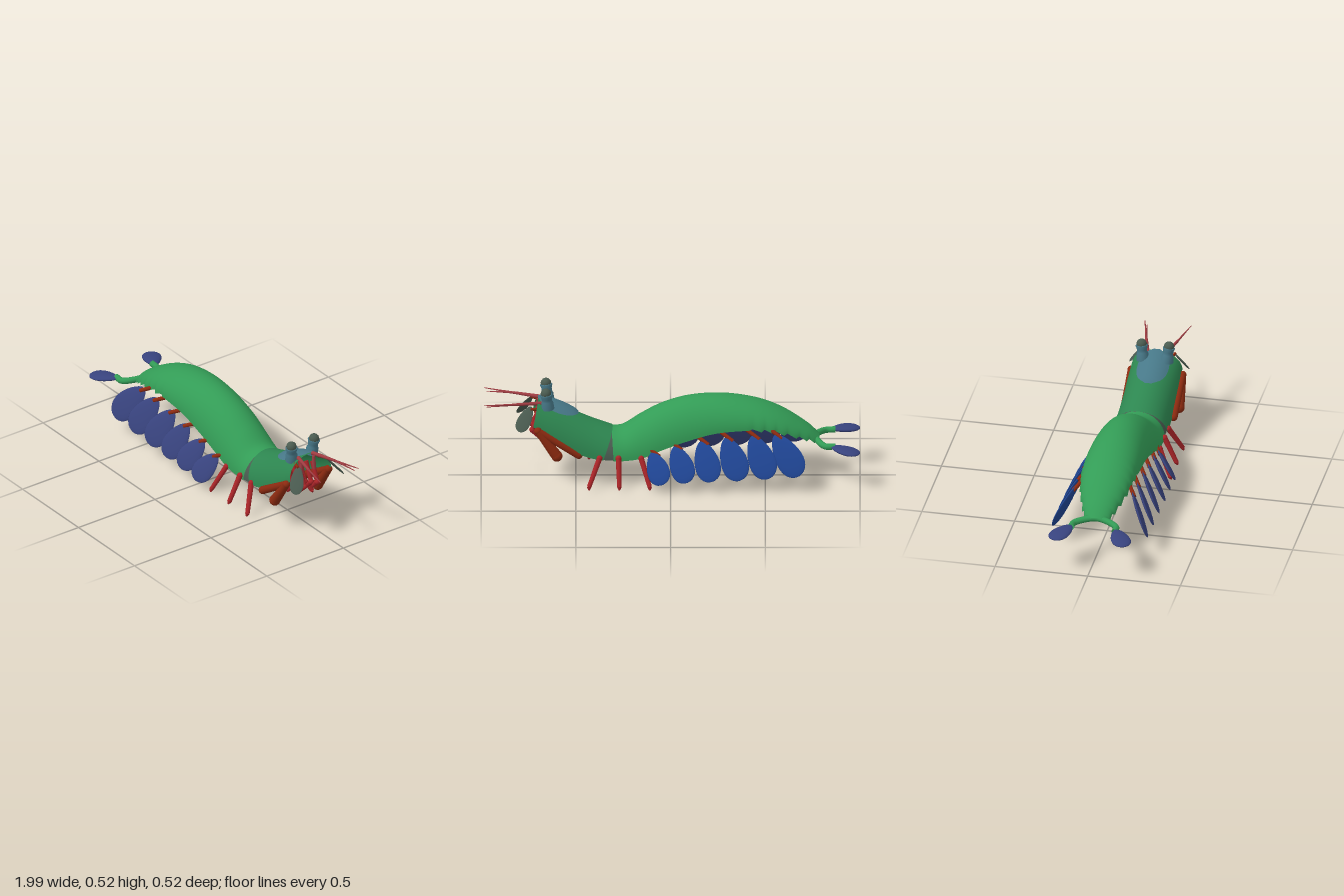
import * as THREE from 'three';

const mat = (name, color, double) => {
  const m = new THREE.MeshStandardMaterial({ color });
  m.name = name;
  if (double) m.side = THREE.DoubleSide;
  return m;
};
const V = (x, y, z) => new THREE.Vector3(x, y, z);

export function createModel() {
  const root = new THREE.Group();
  root.name = 'mantisShrimp';
  const M = {
    body: mat('shellGreen', 0x339c56, true),
    head: mat('headGreen', 0x2d8650, true),
    grey: mat('greyGreen', 0x4a5b50, true),
    teal: mat('teal', 0x477888, true),
    red: mat('legRed', 0xaa2428),
    rust: mat('clawRust', 0x8c2a10),
    pink: mat('antennaRed', 0xa03c42),
    navy: mat('navy', 0x38437e),
    blue: mat('blue', 0x1f4594),
  };

  const add = (name, geometry, material) => {
    const mesh = new THREE.Mesh(geometry, material);
    mesh.name = name;
    root.add(mesh);
    return mesh;
  };

  // Tapered rod between two points
  function limb(name, a, b, ra, rb, material, sides = 10) {
    const dir = b.clone().sub(a);
    const mesh = add(name, new THREE.CylinderGeometry(rb, ra, dir.length(), sides), material);
    mesh.position.copy(a).add(b).multiplyScalar(0.5);
    mesh.quaternion.setFromUnitVectors(V(0, 1, 0), dir.normalize());
    return mesh;
  }

  function ball(name, p, r, material) {
    const mesh = add(name, new THREE.SphereGeometry(r, 14, 10), material);
    mesh.position.copy(p);
    return mesh;
  }

  // Flat pear-shaped blade, narrow at a and broad at b
  function blade(name, a, b, halfWidth, thick, normalHint, material) {
    const dir = b.clone().sub(a);
    const len = dir.length();
    const geo = new THREE.SphereGeometry(1, 24, 16);
    const p = geo.attributes.position;
    for (let i = 0; i < p.count; i++) {
      const y = p.getY(i);
      p.setXYZ(i, p.getX(i) * halfWidth * (1 - 0.28 * y), -y * len / 2, p.getZ(i) * thick);
    }
    // Mirrored along y, so turn the faces back outward
    const idx = geo.index.array;
    for (let i = 0; i < idx.length; i += 3) [idx[i], idx[i + 1]] = [idx[i + 1], idx[i]];
    // Broad end sits at +y
    for (let i = 0; i < p.count; i++) p.setX(i, p.getX(i));
    geo.computeVertexNormals();
    const y = dir.normalize();
    const x = y.clone().cross(normalHint).normalize();
    const z = x.clone().cross(y);
    const mesh = add(name, geo, material);
    mesh.quaternion.setFromRotationMatrix(new THREE.Matrix4().makeBasis(x, y, z));
    mesh.position.copy(a).add(b).multiplyScalar(0.5);
    return mesh;
  }

  // Smoothly resample rows of numbers
  function resample(rows, steps) {
    const out = [];
    const n = rows.length - 1;
    for (let s = 0; s <= steps; s++) {
      const f = (s / steps) * n, i = Math.min(Math.floor(f), n - 1), t = f - i;
      const at = k => rows[Math.max(0, Math.min(n, k))];
      out.push(rows[0].map((_, c) => {
        const [p, q, r, w] = [at(i - 1)[c], at(i)[c], at(i + 1)[c], at(i + 2)[c]];
        return q + 0.5 * t * (r - p + t * (2 * p - 5 * q + 4 * r - w + t * (3 * (q - r) + w - p)));
      }));
    }
    return out;
  }

  // Open arched shell; row: top x, edge x, top y, edge y, half width, centre z, half angle
  function shell(name, rows, material, segs = 24) {
    const pos = [], idx = [];
    rows.forEach(([xt, xb, top, bot, w, zc, a], i) => {
      for (let j = 0; j <= segs; j++) {
        const t = (j / segs * 2 - 1) * a, c = Math.cos(t);
        pos.push(xb + (xt - xb) * c, bot + (top - bot) * c, zc + w * Math.sin(t));
        if (i && j) {
          const d = i * (segs + 1) + j, e = d - segs - 1;
          idx.push(e - 1, e, d - 1, e, d, d - 1);
        }
      }
    });
    const geo = new THREE.BufferGeometry();
    geo.setAttribute('position', new THREE.Float32BufferAttribute(pos, 3));
    geo.setIndex(idx);
    geo.computeVertexNormals();
    return add(name, geo, material);
  }
  const H = Math.PI / 2;

  // Abdomen, with a toothed edge near the tail
  const abdomen = resample([
    [-0.785, -0.785, 0.235, 0.205, 0.05, 0, H],
    [-0.72, -0.72, 0.295, 0.235, 0.085, 0, H],
    [-0.6, -0.6, 0.372, 0.283, 0.125, 0, H],
    [-0.48, -0.48, 0.423, 0.31, 0.143, 0, H],
    [-0.35, -0.35, 0.452, 0.31, 0.15, 0, H],
    [-0.22, -0.22, 0.461, 0.293, 0.15, 0, H],
    [-0.08, -0.08, 0.447, 0.25, 0.15, 0, H],
    [0.05, 0.05, 0.405, 0.2, 0.15, 0, H],
    [0.16, 0.15, 0.345, 0.155, 0.147, 0, H],
    [0.25, 0.24, 0.285, 0.138, 0.142, 0, H],
    [0.31, 0.3, 0.277, 0.136, 0.142, 0, H],
  ], 80);
  abdomen.forEach((r, i) => {
    if (r[0] < -0.42) {
      const tooth = (i % 4) / 3;
      r[4] += 0.008 * (0.5 - tooth);
      r[3] += 0.014 * (tooth - 0.5);
    }
  });
  shell('abdomenShell', abdomen, M.body, 32);

  // Neck band and head shell
  shell('neckBand', [
    [0.27, 0.27, 0.272, 0.136, 0.138, 0, H],
    [0.33, 0.37, 0.28, 0.143, 0.138, 0, H],
  ], M.grey);
  shell('headShell', resample([
    [0.305, 0.355, 0.28, 0.142, 0.143, 0, H],
    [0.41, 0.43, 0.318, 0.155, 0.142, 0.003, H],
    [0.51, 0.53, 0.36, 0.195, 0.141, 0.006, H],
    [0.61, 0.64, 0.402, 0.26, 0.14, 0.009, H],
    [0.7, 0.725, 0.437, 0.325, 0.135, 0.012, H],
  ], 16), M.head, 18);

  // Plate on top of the head
  shell('headPlate', resample([
    [0.485, 0.51, 0.354, 0.2, 0.142, 0.012, 0.12],
    [0.51, 0.53, 0.375, 0.2, 0.142, 0.013, 0.42],
    [0.56, 0.58, 0.402, 0.232, 0.142, 0.014, 0.61],
    [0.62, 0.65, 0.426, 0.266, 0.142, 0.015, 0.62],
    [0.67, 0.69, 0.438, 0.305, 0.14, 0.015, 0.45],
    [0.7, 0.72, 0.443, 0.325, 0.138, 0.015, 0.12],
  ], 20), M.teal, 14);

  // Tail fork
  const fork = new THREE.CatmullRomCurve3([
    V(-0.87, 0.212, 0.118), V(-0.82, 0.21, 0.115), V(-0.785, 0.216, 0.07), V(-0.765, 0.222, 0),
    V(-0.785, 0.216, -0.07), V(-0.82, 0.21, -0.115), V(-0.87, 0.212, -0.118)]);
  add('tailFork', new THREE.TubeGeometry(fork, 32, 0.017, 10), M.body);

  // Swimming paddles: root x, root y, tip x, tip y, half width
  const paddles = [
    [-0.56, 0.3, -0.7, 0.1, 0.072],
    [-0.44, 0.295, -0.54, 0.085, 0.072],
    [-0.3, 0.285, -0.39, 0.075, 0.072],
    [-0.17, 0.265, -0.24, 0.067, 0.068],
    [-0.03, 0.235, -0.11, 0.062, 0.064],
    [0.09, 0.2, 0.02, 0.05, 0.06],
  ];
  // Walking legs: top x, foot x
  const legs = [[0.155, 0.11], [0.275, 0.27], [0.375, 0.43]];

  for (const s of [1, -1]) {
    const side = s > 0 ? 'left' : 'right';
    const hz = z => 0.015 + s * z; // the head sits slightly off centre

    blade(side + 'TailFan', V(-0.85, 0.212, s * 0.12), V(-0.995, 0.197, s * 0.195), 0.05, 0.016, V(0, 1, 0), M.navy);

    for (const [rx, ry, tx, ty, w] of paddles) {
      const dx = s > 0 ? 0 : 0.02;
      limb(side + 'PaddleStem', V(rx + 0.04, ry + 0.015, s * 0.12), V(rx - 0.03, ry - 0.025, s * 0.165), 0.011, 0.011, M.rust);
      blade(side + 'Paddle', V(rx - 0.01 + dx, ry - 0.01, s * 0.15), V(tx + dx, ty, s * 0.258), w, 0.012,
        V(0.3, 0.4, s * 0.85), s > 0 ? M.navy : M.blue);
    }

    for (const [tx, fx] of legs) {
      const hip = V(tx, 0.155, s * 0.145), foot = V(fx, 0.018, s * 0.21);
      limb(side + 'WalkingLeg', hip, foot, 0.015, 0.012, M.red);
      limb(side + 'Foot', foot, V(fx, 0.002, s * 0.217), 0.013, 0.004, M.red);
      ball(side + 'LegJoint', hip, 0.016, M.red);
    }

    // Folded striking claw
    const elbow = V(0.485, 0.165, hz(0.135)), wrist = V(0.7, 0.302, hz(0.138)), tip = V(0.6, 0.16, hz(0.14));
    limb(side + 'ClawUpperArm', elbow, wrist, 0.022, 0.019, M.rust, 14);
    ball(side + 'ClawElbow', elbow, 0.022, M.rust);
    ball(side + 'ClawWrist', wrist, 0.021, M.rust);
    limb(side + 'ClawForearm', tip, wrist, 0.029, 0.02, M.rust, 14);
    ball(side + 'ClawClub', tip, 0.03, M.rust);

    // Small curled mouth legs
    for (let i = 0; i < 4; i++) {
      const x = 0.52 + i * 0.055, y = 0.27 + i * 0.025, z = hz(0.042);
      const knee = V(x + 0.045, y - 0.075, z), end = V(x + 0.005, y - 0.12, z);
      limb(side + 'MouthLegUpper', V(x, y + 0.03, z), knee, 0.012, 0.012, M.red);
      ball(side + 'MouthLegKnee', knee, 0.016, M.red);
      limb(side + 'MouthLegLower', knee, end, 0.015, 0.009, M.red);
    }
    limb(side + 'Feeler', V(0.7, 0.415, hz(0.04)), V(0.705, 0.29, hz(0.044)), 0.008, 0.013, M.pink);

    // Antennae with split tips
    const base = V(0.68, 0.422, hz(0.045)), fkt = V(0.83, 0.43, hz(0.085));
    limb(side + 'Antenna', base, fkt, 0.011, 0.007, M.pink);
    limb(side + 'AntennaUpperTip', fkt, V(0.985, 0.441, hz(0.125)), 0.006, 0.002, M.pink, 6);
    limb(side + 'AntennaLowerTip', fkt, V(0.97, 0.427, hz(0.11)), 0.006, 0.002, M.pink, 6);

    // Antennal scale on a short stem
    limb(side + 'ScaleStem', V(0.69, 0.4, hz(0.075)), V(0.74, 0.405, hz(0.09)), 0.009, 0.007, M.rust);
    if (s > 0) blade('leftScale', V(0.735, 0.408, 0.1), V(0.8, 0.288, 0.165), 0.036, 0.006, V(0.6, 0.4, 0.75), M.grey);
    else blade('rightScale', V(0.735, 0.418, -0.065), V(0.8, 0.308, -0.15), 0.036, 0.005, V(0, 0.62, -0.78), M.grey);

    // Eye on a flared stalk
    const stalk = new THREE.Group();
    stalk.name = side + 'Eye';
    const cup = new THREE.Mesh(new THREE.LatheGeometry([[0.034, -0.01], [0.032, 0.025], [0.027, 0.035], [0.027, 0.05],
      [0.033, 0.072], [0.028, 0.076], [0, 0.07]].map(([r, y]) => new THREE.Vector2(r, y)), 16), M.teal);
    cup.name = 'eyeStalk';
    const eye = new THREE.Mesh(new THREE.SphereGeometry(0.028, 14, 10), M.grey);
    eye.name = 'eyeball';
    eye.position.y = 0.08;
    stalk.add(cup, eye);
    stalk.position.set(0.648, 0.41, hz(0.066));
    stalk.rotation.set(s * 0.1, 0, -0.12);
    root.add(stalk);
  }
  return root;
}
